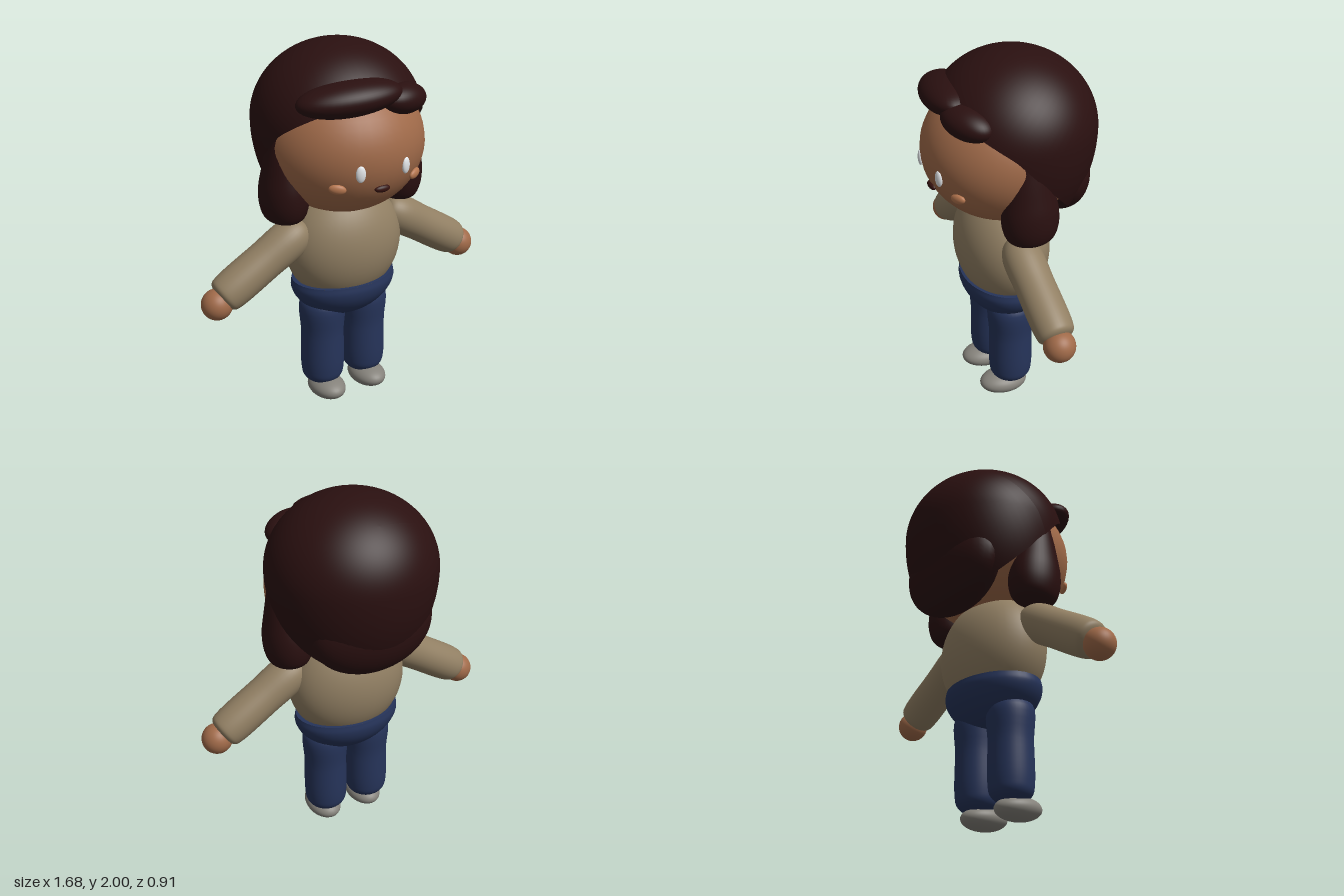
import * as THREE from 'three';

const paint = (name, color, side = THREE.FrontSide) => {
  const m = new THREE.MeshStandardMaterial({ color, side });
  m.name = name;
  return m;
};

export function createModel() {
  const model = new THREE.Group();
  model.name = 'figure';

  const hair = paint('dark hair', 0x2a1010, THREE.DoubleSide);
  const skin = paint('skin', 0xa06a49);
  const blush = paint('blush', 0xb5764f);
  const sweater = paint('sweater', 0x917f63);
  const denim = paint('denim', 0x26345a);
  const shoe = paint('shoe grey', 0x85827b);
  const white = paint('eye white', 0xe8ebee);
  const lip = paint('mouth brown', 0x35120f);

  const add = (name, geometry, material, pos = [0, 0, 0], rot = [0, 0, 0]) => {
    const mesh = new THREE.Mesh(geometry, material);
    mesh.name = name;
    mesh.position.set(...pos);
    mesh.rotation.set(...rot);
    model.add(mesh);
    return mesh;
  };
  const ball = (name, material, pos, radii, rot) =>
    add(name, new THREE.SphereGeometry(1, 40, 28).scale(...radii), material, pos, rot);
  // Smooth turned shape from [radius, height] points, listed bottom to top
  const turned = (points) => {
    const curve = new THREE.CatmullRomCurve3(points.map(([r, y]) => new THREE.Vector3(r, y, 0)), false, 'centripetal');
    const profile = curve.getPoints(points.length * 5).map((p) => new THREE.Vector2(Math.max(p.x, 0), p.y));
    return new THREE.LatheGeometry(profile, 40);
  };

  // Head
  ball('head', skin, [0, 1.485, 0.04], [0.428, 0.37, 0.415]);

  // Hair cap: tilted partial sphere, longer below its middle
  const cap = new THREE.SphereGeometry(1, 64, 40, 0, Math.PI * 2, 0, 1.81);
  cap.rotateX(-0.666);
  const p = cap.attributes.position;
  for (let i = 0; i < p.count; i++) {
    const y = p.getY(i);
    p.setXYZ(i, p.getX(i) * 0.45, y * (y < 0 ? 0.6 : 0.4), p.getZ(i) * 0.435);
  }
  cap.computeVertexNormals();
  add('hairCap', cap, hair, [0, 1.6, -0.02]);
  ball('backHair', hair, [0, 1.36, -0.23], [0.34, 0.255, 0.175]);

  // Swept fringe
  ball('fringeLarge', hair, [-0.11, 1.78, 0.29], [0.27, 0.088, 0.135], [0, -0.2, 0.08]);
  ball('fringeSmall', hair, [0.19, 1.74, 0.3], [0.155, 0.08, 0.1], [0, 0.4, -0.1]);

  // Torso, closed off by the trousers below
  ball('torso', sweater, [0, 0.92, 0.045], [0.332, 0.33, 0.245]);
  const hips = turned([[0, 0.5], [0.13, 0.52], [0.22, 0.57], [0.28, 0.635], [0.3, 0.69], [0.294, 0.73]]);
  add('hips', hips.scale(1, 1, 0.735), denim, [0, 0, 0.045]);
  add('waistband', new THREE.CircleGeometry(1, 40).rotateX(-Math.PI / 2).scale(0.294, 1, 0.216), denim, [0, 0.73, 0.045]);

  const sleeve = turned([[0, 0], [0.06, 0.003], [0.09, 0.02], [0.1, 0.055], [0.103, 0.3], [0.1, 0.5], [0.06, 0.57], [0, 0.58]]);
  const leg = turned([[0, 0.09], [0.07, 0.095], [0.108, 0.13], [0.119, 0.19], [0.118, 0.4], [0.114, 0.6], [0, 0.62]]);
  const lock = turned([[0, 1.09], [0.07, 1.095], [0.12, 1.12], [0.145, 1.18], [0.148, 1.27], [0.125, 1.38], [0.095, 1.5], [0.06, 1.62], [0, 1.68]]);
  lock.translate(0, -1.1, 0).scale(0.84, 1, 1);

  for (const s of [1, -1]) {
    const side = s > 0 ? 'left' : 'right';
    // Face details
    ball(side + 'Eye', white, [s * 0.13, 1.44, 0.433], [0.025, 0.043, 0.014], [0, s * 0.3, 0]);
    ball(side + 'Cheek', blush, [s * 0.225, 1.36, 0.372], [0.044, 0.026, 0.018], [0.1, s * 0.5, s * 0.1]);
    // Side lock
    add(side + 'HairLock', lock, hair, [s * 0.342, 1.11, 0.03], [0.06, 0, -s * 0.03]);
    // Arm
    add(side + 'Sleeve', sleeve, sweater, [s * 0.735, 0.76, 0.065], [0.03, 0, s * 1.015]);
    ball(side + 'Hand', skin, [s * 0.757, 0.738, 0.07], [0.082, 0.082, 0.082]);
    // Leg and foot
    add(side + 'Leg', leg, denim, [s * 0.132, 0, 0.048]);
    ball(side + 'Foot', shoe, [s * 0.132, 0.065, 0.092], [0.095, 0.062, 0.138], [-0.06, 0, 0]);
  }
  ball('mouth', lip, [0, 1.34, 0.425], [0.044, 0.019, 0.018]);

  return model;
}
